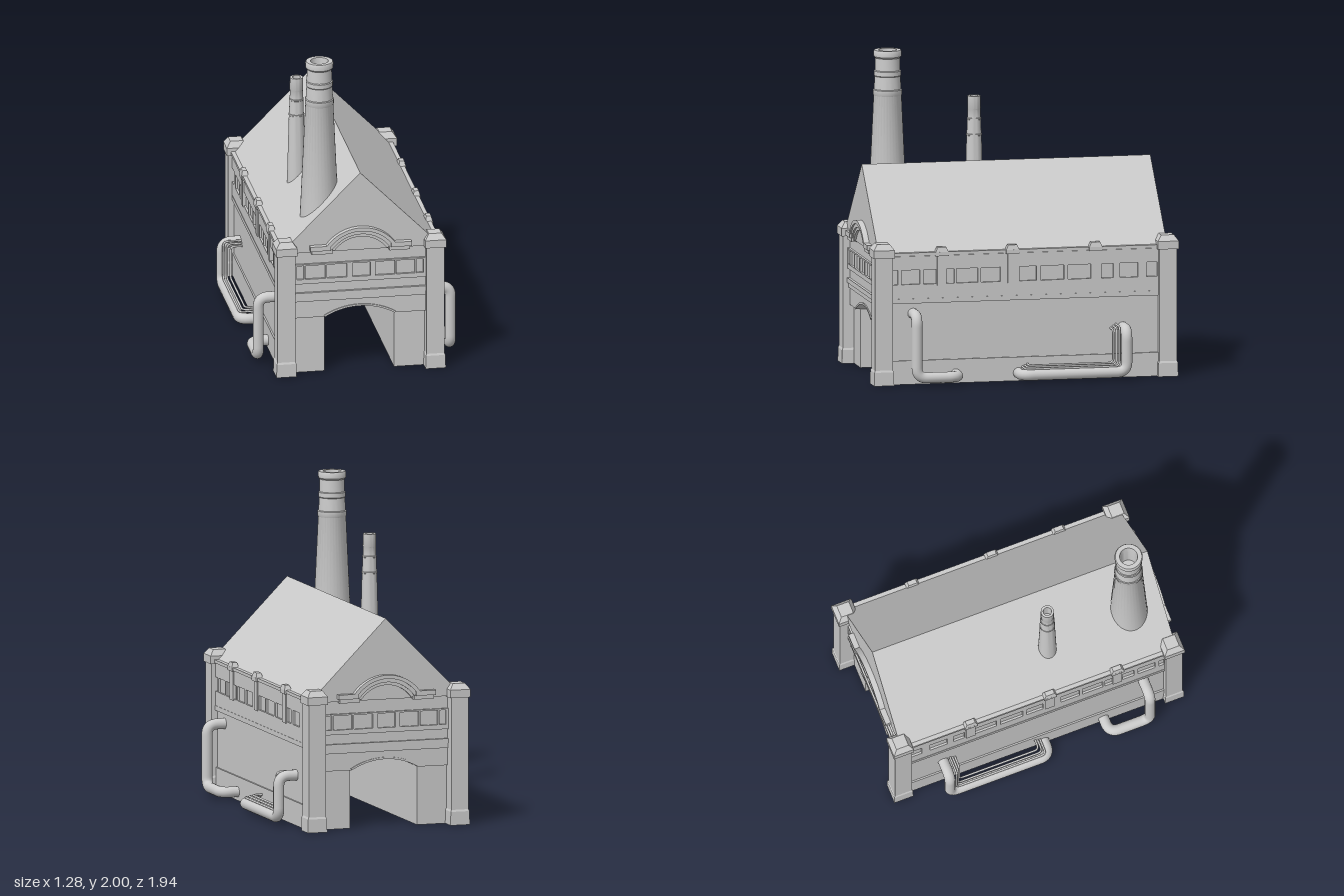
import * as THREE from 'three';
import { toCreasedNormals } from 'three/addons/utils/BufferGeometryUtils.js';

const mat = new THREE.MeshStandardMaterial({ color: 0xcccccc, side: THREE.DoubleSide });
const ARCH = { r: 0.433, y: -0.003, half: 0.533 }; // tunnel arch

function add(parent, name, geo, x = 0, y = 0, z = 0) {
  const m = new THREE.Mesh(geo, mat);
  m.name = name;
  m.position.set(x, y, z);
  parent.add(m);
  return m;
}
const creased = (g) => toCreasedNormals(g, 0.6);
const extrude = (shape, depth) =>
  creased(new THREE.ExtrudeGeometry(shape, { depth, bevelEnabled: false, curveSegments: 24 }));

// Box given by its minimum and maximum corners
function block(parent, name, [x0, x1], [y0, y1], [z0, z1]) {
  return add(parent, name, new THREE.BoxGeometry(x1 - x0, y1 - y0, z1 - z0),
    (x0 + x1) / 2, (y0 + y1) / 2, (z0 + z1) / 2);
}

// Four-sided block tapering from width w0 to w1, standing on y = 0
function taper(w0, w1, h, stretch = 1) {
  const g = new THREE.CylinderGeometry(w1 / Math.SQRT2, w0 / Math.SQRT2, h, 4);
  g.rotateY(Math.PI / 4).translate(0, h / 2, 0).scale(1, 1, stretch);
  return toCreasedNormals(g, 0.1);
}

function polygon(points) {
  return new THREE.Shape(points.map(([x, y]) => new THREE.Vector2(x, y)));
}

// Wall outline whose lower edge is cut by the tunnel arch
function archedWall(w, bottom, top) {
  const s = new THREE.Shape();
  s.moveTo(-w, bottom);
  s.lineTo(-0.22, bottom);
  s.lineTo(-0.22, 0.37);
  s.absarc(0, ARCH.y, ARCH.r, Math.PI / 2 + ARCH.half, Math.PI / 2 - ARCH.half, true);
  s.lineTo(0.22, bottom);
  s.lineTo(w, bottom);
  s.lineTo(w, top);
  s.lineTo(-w, top);
  return s;
}

// Curved moulding
function arcBand(cy, r0, r1, half, depth) {
  const s = new THREE.Shape(), a = Math.PI / 2 - half, b = Math.PI / 2 + half;
  s.absarc(0, cy, r1, a, b, false);
  s.absarc(0, cy, r0, b, a, true);
  return extrude(s, depth);
}

// Raised strip with rectangular sunk panels
function panelStrip(u0, u1, y0, y1, panels, depth) {
  const s = polygon([[u0, y0], [u1, y0], [u1, y1], [u0, y1]]);
  for (const [a, b] of panels)
    s.holes.push(new THREE.Path([[a, 0.63], [a, 0.72], [b, 0.72], [b, 0.63]].map((p) => new THREE.Vector2(...p))));
  return extrude(s, depth);
}

// Pipe through corner points with rounded bends
function pipe(points, radius, bend) {
  const p = points.map((q) => new THREE.Vector3(...q));
  const path = new THREE.CurvePath();
  let from = p[0];
  for (let i = 1; i < p.length - 1; i++) {
    const a = p[i].clone().add(p[i - 1].clone().sub(p[i]).setLength(bend));
    const b = p[i].clone().add(p[i + 1].clone().sub(p[i]).setLength(bend));
    path.add(new THREE.LineCurve3(from, a));
    path.add(new THREE.QuadraticBezierCurve3(a, p[i], b));
    from = b;
  }
  path.add(new THREE.LineCurve3(from, p[p.length - 1]));
  return new THREE.TubeGeometry(path, 80, radius, radius > 0.02 ? 16 : 8);
}

function chimney(profile) {
  return creased(new THREE.LatheGeometry(profile.map(([r, y]) => new THREE.Vector2(r, y)), 32));
}

// Front or back wall, modelled facing +z with its face at z = 0
function endWall(name) {
  const g = new THREE.Group();
  g.name = name;
  add(g, 'archWall', extrude(archedWall(0.44, 0.37, 0.82), 0.035), 0, 0, -0.05);
  add(g, 'archTrim', arcBand(ARCH.y, ARCH.r, ARCH.r + 0.012, ARCH.half, 0.02), 0, 0, -0.028);
  block(g, 'lowerCornice', [-0.42, 0.42], [0.48, 0.51], [-0.03, -0.006]);
  block(g, 'upperCornice', [-0.42, 0.42], [0.51, 0.54], [-0.03, 0.002]);
  const panels = [[-0.4, -0.355], [-0.345, -0.22], [-0.21, -0.085], [-0.05, 0.065],
    [0.095, 0.22], [0.23, 0.345], [0.355, 0.4]];
  add(g, 'panelStrip', panelStrip(-0.42, 0.42, 0.6, 0.73, panels, 0.015), 0, 0, -0.015);
  // Curved hood with flat shoulders
  add(g, 'hoodOuter', arcBand(0.697, 0.245, 0.268, 0.96, 0.05), 0, 0, -0.015);
  add(g, 'hoodMiddle', arcBand(0.697, 0.222, 0.245, 0.96, 0.04), 0, 0, -0.015);
  add(g, 'hoodInner', arcBand(0.697, 0.203, 0.222, 0.96, 0.03), 0, 0, -0.015);
  for (const s of [-1, 1]) {
    const span = (a, b) => [Math.min(s * a, s * b), Math.max(s * a, s * b)];
    block(g, 'hoodShoulder', span(0.19, 0.32), [0.825, 0.855], [-0.015, 0.035]);
    block(g, 'hoodShoulderBase', span(0.18, 0.31), [0.8, 0.825], [-0.015, 0.025]);
  }
  return g;
}

// Long wall dressing and pipework; s = 1 is the model's left, s = -1 its right
function sideWall(s) {
  const g = new THREE.Group();
  g.name = s > 0 ? 'leftSide' : 'rightSide';
  const xs = (a, b) => [Math.min(s * a, s * b), Math.max(s * a, s * b)];
  const along = [-0.87, 0.88];
  block(g, 'plinth', xs(0.47, 0.5), [0, 0.15], along);
  block(g, 'stringCourse', xs(0.47, 0.505), [0.51, 0.54], along);
  block(g, 'eaveMoulding', xs(0.46, 0.512), [0.81, 0.83], along);

  const panels = [[0.81, 0.845], [0.67, 0.785], [0.3, 0.435], [0.155, 0.28], [-0.075, 0.035],
    [-0.25, -0.1], [-0.42, -0.275], [-0.565, -0.49], [-0.72, -0.605], [-0.845, -0.775], [0.565, 0.645], [0.45, 0.5]];
  const strip = add(g, 'panelStrip', panelStrip(s > 0 ? -0.88 : -0.87, s > 0 ? 0.87 : 0.88, 0.54, 0.81,
    panels.map(([a, b]) => (s > 0 ? [-b, -a] : [a, b])), 0.015), s * 0.488, 0, 0);
  strip.rotation.y = s * Math.PI / 2;

  // Small pilasters with tapered caps
  for (const z of [0.53, 0.08, -0.45]) {
    block(g, 'pilaster', xs(0.47, 0.51), [0.62, 0.81], [z - 0.03, z + 0.03]);
    block(g, 'pilasterCap', xs(0.475, 0.52), [0.805, 0.83], [z - 0.042, z + 0.042]);
    add(g, 'pilasterTop', taper(0.045, 0.03, 0.03, 1.85), s * 0.497, 0.83, z);
  }

  // Large pipes
  const px = s * 0.607;
  add(g, 'frontPipe', pipe([[s * 0.47, 0.445, 0.71], [px, 0.445, 0.71], [px, 0.055, 0.71],
    [px, 0.055, 0.44], [s * 0.47, 0.055, 0.44]], 0.034, 0.065));
  add(g, 'rearPipe', pipe([[s * 0.47, 0.315, -0.628], [px, 0.315, -0.628], [px, 0.05, -0.628],
    [px, 0.05, 0.04], [s * 0.47, 0.05, 0.04]], 0.034, 0.065));
  // Thin pipes nested inside the rear one
  for (let i = 0; i < 3; i++) {
    const x = s * (0.605 - i * 0.02), z = -0.582 + i * 0.016, y = 0.088 + i * 0.008, top = 0.335 - i * 0.012;
    add(g, 'thinPipe', pipe([[s * 0.47, top, z], [x, top, z], [x, y, z],
      [x, y, 0.015 - i * 0.016], [s * 0.47, y, 0.015 - i * 0.016]], 0.007, 0.03));
  }
  return g;
}

export function createModel() {
  const model = new THREE.Group();
  model.name = 'tunnelBuilding';

  // Body with the tunnel running through it, and the gabled roof
  add(model, 'body', extrude(archedWall(0.49, 0, 0.82), 1.76), 0, 0, -0.87);
  add(model, 'roof', extrude(polygon([[-0.507, 0.808], [0.507, 0.808], [0, 1.318]]), 1.84), 0, 0, -0.91);

  const front = endWall('frontWall');
  front.position.z = 0.93;
  const back = endWall('backWall');
  back.position.z = -0.91;
  back.rotation.y = Math.PI;
  model.add(front, back, sideWall(1), sideWall(-1));

  // Corner pillars
  for (const sx of [-1, 1]) for (const z of [0.903, -0.908]) {
    const p = new THREE.Group();
    p.name = 'cornerPillar';
    p.position.set(sx * 0.471, 0, z);
    add(p, 'pillarBase', taper(0.127, 0.124, 0.085));
    add(p, 'pillarBaseSlope', taper(0.124, 0.113, 0.012), 0, 0.085, 0);
    add(p, 'pillarShaft', taper(0.113, 0.113, 0.75), 0, 0.06, 0);
    add(p, 'pillarCap', taper(0.133, 0.133, 0.05), 0, 0.803, 0);
    add(p, 'pillarCapTop', taper(0.133, 0.08, 0.037), 0, 0.853, 0);
    model.add(p);
  }

  // Tall and short chimneys, hollow at the top
  add(model, 'tallChimney', chimney([[0.126, 0.88], [0.087, 1.715], [0.09, 1.72], [0.09, 1.75], [0.085, 1.755],
    [0.08, 1.835], [0.084, 1.84], [0.084, 1.868], [0.079, 1.873], [0.077, 1.95], [0.086, 1.96], [0.088, 1.99],
    [0.083, 2.0], [0.056, 2.0], [0.05, 1.94], [0.05, 1.8], [0, 1.8]]), -0.222, 0, 0.717);
  add(model, 'shortChimney', chimney([[0.06, 0.95], [0.047, 1.435], [0.049, 1.437], [0.049, 1.445], [0.046, 1.447],
    [0.043, 1.535], [0.045, 1.537], [0.045, 1.545], [0.042, 1.547], [0.04, 1.6], [0.042, 1.604], [0.041, 1.685],
    [0.026, 1.685], [0.026, 1.58], [0, 1.58]]), -0.27, 0, 0.155);

  return model;
}
